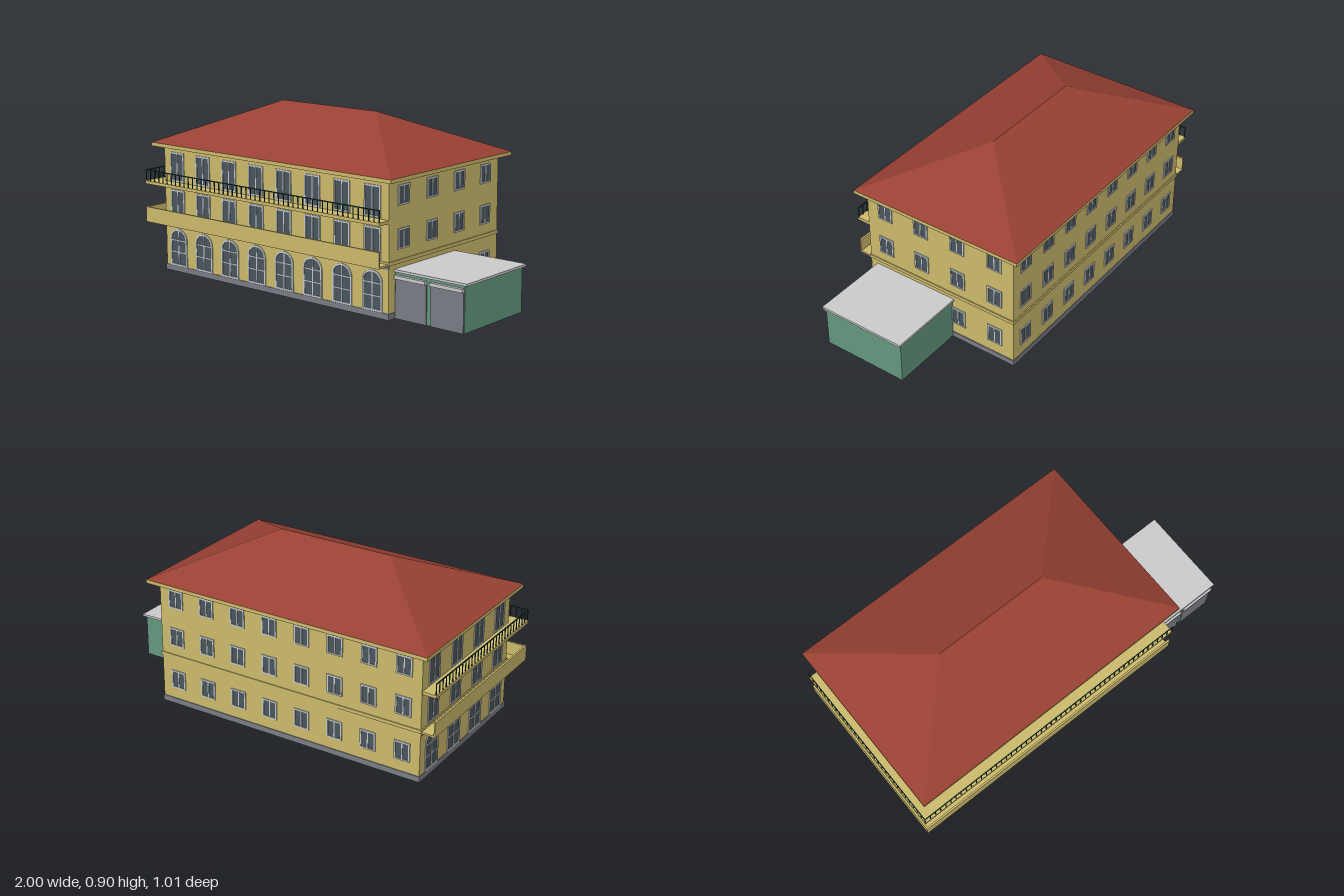
import * as THREE from 'three';

const paint = (name, color) => Object.assign(new THREE.MeshStandardMaterial({ color }), { name });

export function createModel() {
  const M = {
    wall: paint('ochre wall', 0xcdbb6d),
    roof: paint('terracotta roof', 0x984133),
    stone: paint('grey stone', 0x7b7d86),
    glass: paint('dark glass', 0x4a575e),
    frame: paint('pale frame', 0xc6cacd),
    green: paint('garage green', 0x65987f),
    rail: paint('dark green iron', 0x1d4238),
    slab: paint('light concrete', 0xcccccc),
  };
  const model = new THREE.Group();
  model.name = 'villa';

  function add(name, geometry, material, parent = model) {
    const mesh = new THREE.Mesh(geometry, material);
    mesh.name = name;
    parent.add(mesh);
    return mesh;
  }
  // Box given by its min and max along each axis
  function box(name, material, x0, x1, y0, y1, z0, z1, parent) {
    const g = new THREE.BoxGeometry(x1 - x0, y1 - y0, z1 - z0);
    g.translate((x0 + x1) / 2, (y0 + y1) / 2, (z0 + z1) / 2);
    return add(name, g, material, parent);
  }

  // Main block
  const X0 = -0.925, X1 = 0.58, Z0 = -0.455, Z1 = 0.43;
  box('mainWalls', M.wall, X0, X1, 0, 0.67, Z0, Z1);

  // Thin course running round the walls
  function course(name, material, y0, y1, t, sides = 'frontleftbackright') {
    if (sides.includes('front')) box(name, material, X0 - t, X1 + t, y0, y1, Z1, Z1 + t);
    if (sides.includes('back')) box(name, material, X0 - t, X1 + t, y0, y1, Z0 - t, Z0);
    if (sides.includes('left')) box(name, material, X0 - t, X0, y0, y1, Z0, Z1);
    if (sides.includes('right')) box(name, material, X1, X1 + t, y0, y1, Z0, Z1);
  }
  course('plinth', M.stone, 0, 0.03, 0.004);
  course('stringCourse', M.wall, 0.262, 0.28, 0.005);
  course('underBalconyStrip', M.stone, 0.245, 0.262, 0.004, 'frontleft');

  // Eaves and hipped roof
  const ex0 = -0.973, ex1 = 0.626, ez0 = -0.505, ez1 = 0.476, ey = 0.685;
  box('eaves', M.wall, ex0, ex1, 0.666, ey, ez0, ez1);
  const a = [ex0, ey, ez1], b = [ex1, ey, ez1], c = [ex1, ey, ez0], d = [ex0, ey, ez0];
  const r0 = [-0.485, 0.9, -0.015], r1 = [0.14, 0.9, -0.015];
  const roof = new THREE.BufferGeometry();
  roof.setAttribute('position', new THREE.Float32BufferAttribute(
    [a, b, r1, a, r1, r0, b, c, r1, c, d, r0, c, r0, r1, d, a, r0].flat(), 3));
  roof.computeVertexNormals();
  add('hippedRoof', roof, M.roof);

  // Outline of an opening, standing on y = 0, with an optional arched head
  function outline(Kind, w, h, rise, inset) {
    const s = new Kind(), x = w / 2 - inset, top = h - inset;
    s.moveTo(-x, inset);
    s.lineTo(x, inset);
    if (rise) {
      s.lineTo(x, h - rise);
      s.absellipse(0, h - rise, x, rise - inset, 0, Math.PI, false);
    } else {
      s.lineTo(x, top);
      s.lineTo(-x, top);
    }
    s.lineTo(-x, inset);
    return s;
  }
  const extrude = (shape, depth) =>
    new THREE.ExtrudeGeometry(shape, { depth, bevelEnabled: false, curveSegments: 14 });

  // Frame, pane and glazing bars for one type of opening
  function openingType(w, h, { rise = 0, border = 0.008, bars = [] } = {}) {
    const ring = outline(THREE.Shape, w, h, rise, 0);
    ring.holes.push(outline(THREE.Path, w, h, rise, border));
    const frameGeo = extrude(ring, 0.005);
    const paneGeo = extrude(outline(THREE.Shape, w, h, rise, border), 0.002);
    return (name) => {
      const g = new THREE.Group();
      g.name = name;
      add('frame', frameGeo, M.frame, g);
      add('pane', paneGeo, M.glass, g);
      box('mullion', M.frame, -0.003, 0.003, border, h - border, 0, 0.004, g);
      for (const y of bars)
        box('glazingBar', M.frame, border - w / 2, w / 2 - border, y - 0.0025, y + 0.0025, 0, 0.004, g);
      return g;
    };
  }
  const smallWindow = openingType(0.086, 0.1);
  const balconyDoor = openingType(0.1, 0.155);
  const archWindow = openingType(0.122, 0.2, { rise: 0.055, border: 0.009, bars: [0.075, 0.138] });

  // Place an opening on a wall; u is x on front and back, z on the sides
  function place(make, name, side, u, y) {
    const g = make(name);
    const [x, z, turn] = {
      front: [u, Z1, 0], back: [u, Z0, Math.PI],
      right: [X1, u, Math.PI / 2], left: [X0, u, -Math.PI / 2],
    }[side];
    g.position.set(x, y, z);
    g.rotation.y = turn;
    model.add(g);
  }
  const longBays = Array.from({ length: 8 }, (_, i) => -0.83 + i * 0.1875);
  const shortBays = [0.32, 0.099, -0.122, -0.343];
  for (const [side, bays] of [['front', longBays], ['left', shortBays]])
    for (const u of bays) {
      place(archWindow, 'archedWindow', side, u, 0.031);
      place(balconyDoor, 'balconyDoor', side, u, 0.285);
      place(balconyDoor, 'balconyDoor', side, u, 0.485);
    }
  for (const [side, bays] of [['back', longBays], ['right', shortBays]])
    for (const u of bays)
      for (const y of [0.09, 0.33, 0.54]) {
        if (side === 'right' && y < 0.2 && u > 0) continue; // covered by the garage
        place(smallWindow, 'window', side, u, y);
      }

  // Balconies wrapping the front and one end
  const bx = -1, bz = 0.502;
  function wrap(name, material, y0, y1, depth, inset = 0) {
    box(name, material, bx + inset, X1, y0, y1, bz - inset - depth, bz - inset);
    box(name, material, bx + inset, bx + inset + depth, y0, y1, Z0, bz - inset - depth);
  }
  wrap('lowerBalconyFloor', M.wall, 0.26, 0.27, 0.073);
  wrap('lowerParapet', M.wall, 0.27, 0.335, 0.007);
  wrap('parapetCap', M.wall, 0.335, 0.341, 0.01);
  wrap('upperBalconyFloor', M.wall, 0.465, 0.481, 0.073);

  // Iron railing on the upper balcony
  wrap('handrail', M.rail, 0.536, 0.541, 0.005, 0.001);
  const bar = new THREE.BoxGeometry(0.004, 0.056, 0.004);
  const baluster = (x, z) => add('baluster', bar, M.rail).position.set(x, 0.509, z);
  const nFront = 50, nSide = 30;
  for (let i = 0; i <= nFront; i++)
    baluster(THREE.MathUtils.lerp(bx + 0.004, X1 - 0.003, i / nFront), bz - 0.004);
  for (let i = 1; i <= nSide; i++)
    baluster(bx + 0.004, THREE.MathUtils.lerp(bz - 0.004, Z0 + 0.003, i / nSide));

  // Garage annex
  box('garageWalls', M.green, X1, 0.983, 0, 0.229, -0.085, 0.38);
  box('garageRoof', M.slab, X1, 1, 0.228, 0.24, -0.095, 0.39);
  for (const [x0, x1] of [[0.585, 0.767], [0.793, 0.98]]) {
    box('garageDoor', M.stone, x0, x1, 0, 0.197, 0.38, 0.386);
    box('shutterBox', M.slab, x0, x1, 0.196, 0.213, 0.38, 0.398);
  }
  return model;
}
